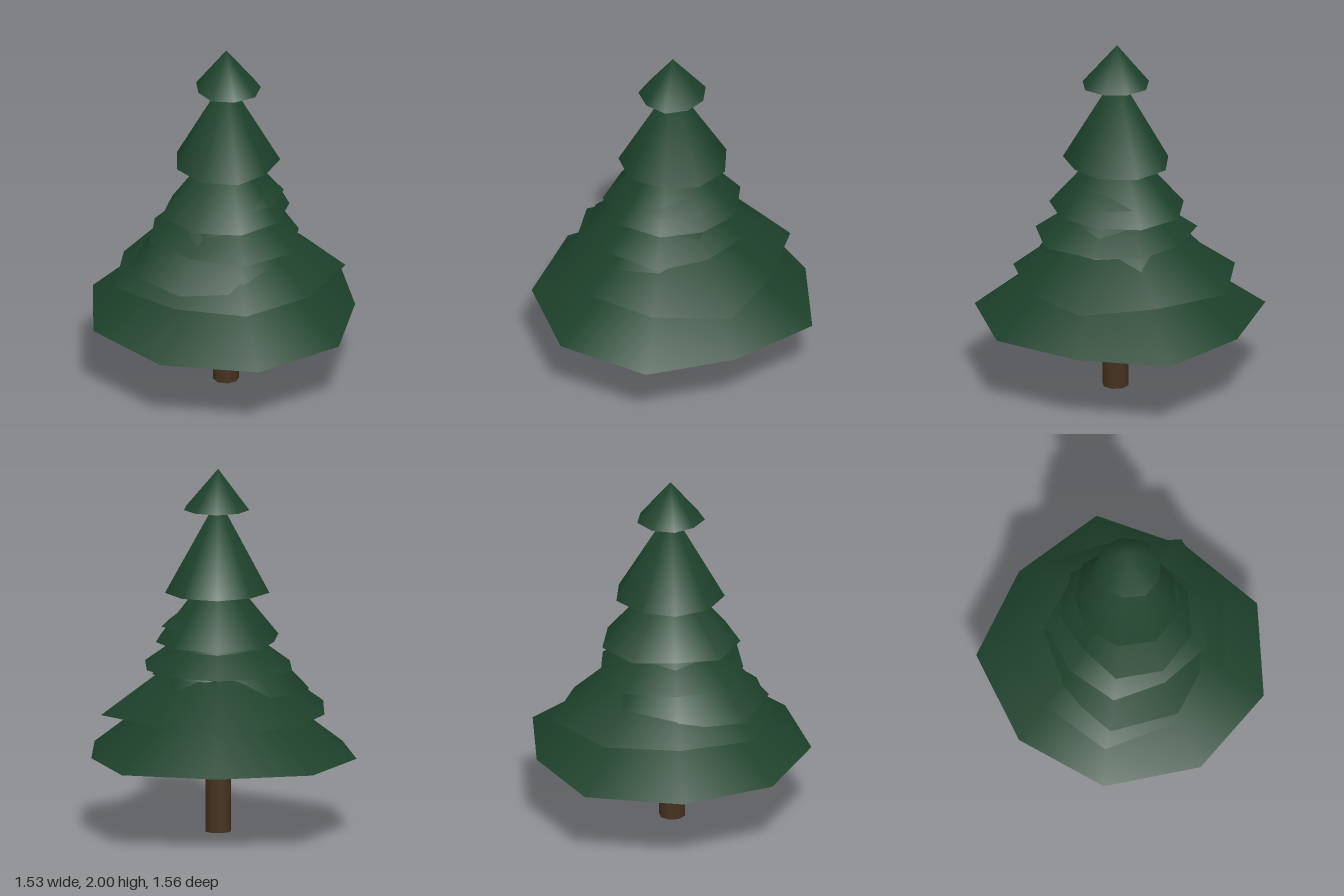
import * as THREE from 'three';

const SIDES = 9;

// Uneven nine-sided ring, scaled about its centre
function ring(radii, cx, cz, y, scale = 1) {
  return radii.map((r, i) => {
    const a = THREE.MathUtils.degToRad(10 + i * 40);
    return new THREE.Vector3(cx + Math.sin(a) * r * scale, y, cz + Math.cos(a) * r * scale);
  });
}

// Smooth open cone from a ring up to a tip above the trunk
function cone(rim, top) {
  const tip = new THREE.Vector3(0, top, 0.025);
  const g = new THREE.BufferGeometry().setFromPoints([...rim, tip]);
  g.setIndex(rim.flatMap((_, i) => [i, (i + 1) % SIDES, SIDES]));
  g.computeVertexNormals();
  return g;
}

export function createModel() {
  const tree = new THREE.Group();
  tree.name = 'pineTree';
  const needles = new THREE.MeshStandardMaterial({ color: 0x1d412b, side: THREE.DoubleSide });
  needles.name = 'needle green';
  const bark = new THREE.MeshStandardMaterial({ color: 0x453220 });
  bark.name = 'bark brown';

  const add = (name, geometry, material) => {
    const mesh = new THREE.Mesh(geometry, material);
    mesh.name = name;
    tree.add(mesh);
    return mesh;
  };

  // Trunk
  add('trunk', new THREE.CylinderGeometry(0.07, 0.072, 0.8, 8), bark).position.set(0.005, 0.4, 0.033);

  // Branch tiers, bottom to top: rim height, tip height, rim centre, rim radii
  const tiers = [
    [0.428, 1.0, 0, 0.01, [0.78, 0.79, 0.765, 0.69, 0.8, 0.74, 0.81, 0.77, 0.785]],
    [0.665, 1.12, -0.02, 0.02, [0.56, 0.59, 0.58, 0.66, 0.56, 0.66, 0.63, 0.57, 0.64]],
    [0.74, 1.3, 0, 0.02, [0.54, 0.46, 0.43, 0.42, 0.43, 0.42, 0.51, 0.48, 0.57]],
    [0.88, 1.44, 0, 0.02, [0.37, 0.37, 0.38, 0.36, 0.33, 0.33, 0.36, 0.36, 0.37]],
    [0.902, 1.22, 0, 0.02, [0.4, 0.45, 0.455, 0.39, 0.395, 0.39, 0.44, 0.41, 0.45]],
    [1.056, 1.49, 0, 0.02, [0.385, 0.375, 0.355, 0.34, 0.365, 0.38, 0.365, 0.31, 0.38]],
    [1.14, 1.38, 0, 0.02, [0.29, 0.29, 0.305, 0.31, 0.29, 0.29, 0.26, 0.25, 0.28]],
    [1.326, 1.84, 0, 0.02, [0.3, 0.3, 0.27, 0.29, 0.3, 0.3, 0.28, 0.285, 0.29]],
    [1.777, 2.0, 0.01, 0.025, [0.185, 0.18, 0.19, 0.18, 0.18, 0.19, 0.185, 0.18, 0.17]],
  ];
  tiers.forEach(([y, top, cx, cz, radii], i) => {
    add(`branchTier${i + 1}`, cone(ring(radii, cx, cz, y), top), needles);
  });

  // Inner layers of branches under the lowest tier
  const [y, , cx, cz, radii] = tiers[0];
  [[0.76, 0.99], [0.56, 0.98]].forEach(([scale, top], i) => {
    add(`innerBranches${i + 1}`, cone(ring(radii, cx, cz, y + 0.005, scale), top), needles);
  });
  return tree;
}
